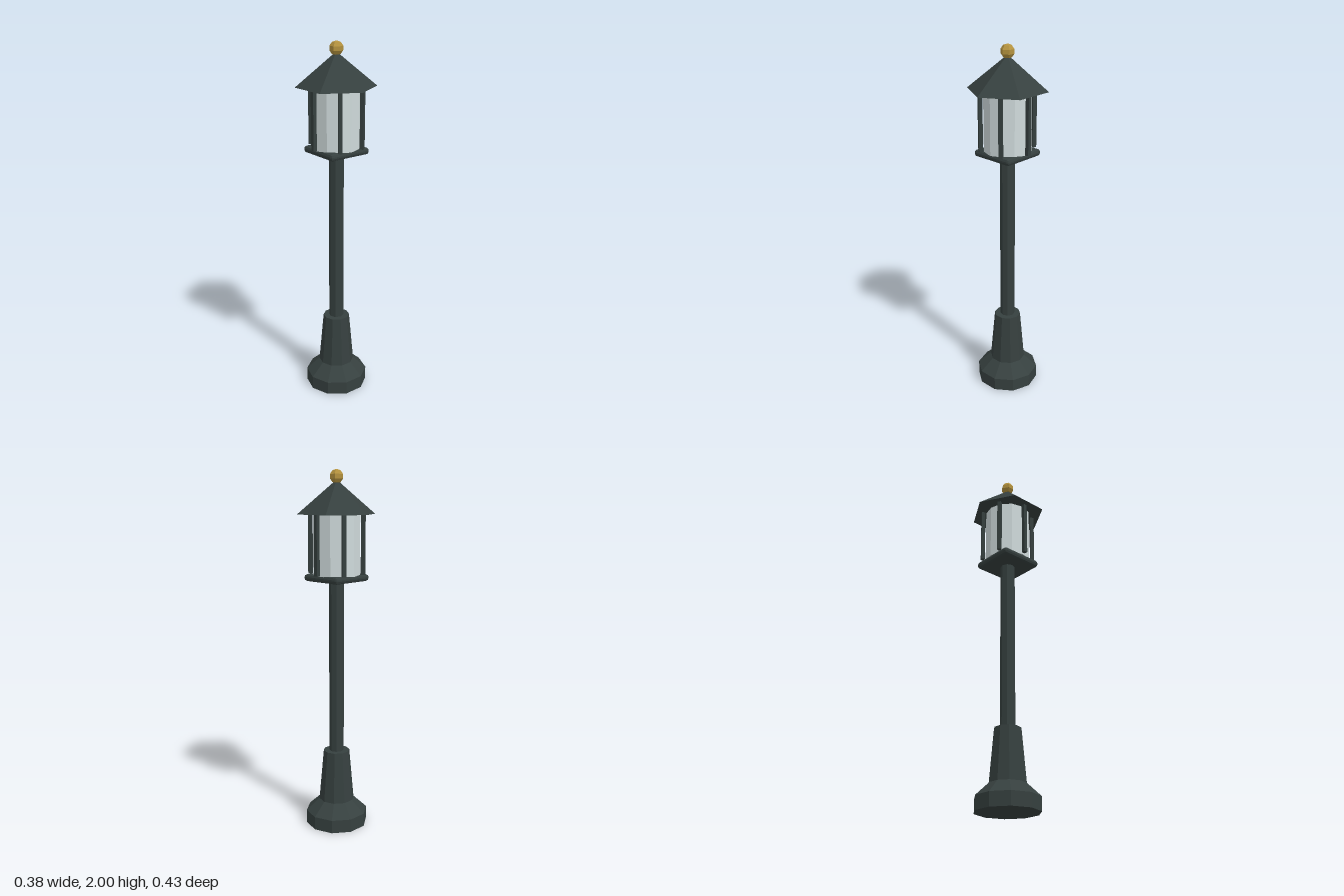
import * as THREE from 'three';
import { RoundedBoxGeometry } from 'three/addons/geometries/RoundedBoxGeometry.js';

export function createModel() {
  const model = new THREE.Group();
  model.name = 'streetLamp';

  const makeMaterial = (name, color) => {
    const material = new THREE.MeshStandardMaterial({ color, flatShading: true });
    material.name = name;
    return material;
  };
  const iron = makeMaterial('darkIron', 0x36403f);
  const glass = makeMaterial('paleGlass', 0xcfdadb);
  const brass = makeMaterial('brass', 0xb5933f);

  const add = (name, geometry, material, y, parent = model) => {
    const mesh = new THREE.Mesh(geometry, material);
    mesh.name = name;
    mesh.position.y = y;
    parent.add(mesh);
    return mesh;
  };

  // Upright prism or frustum spanning y0 to y1
  const column = (name, material, rTop, rBottom, y0, y1, sides) =>
    add(name, new THREE.CylinderGeometry(rTop, rBottom, y1 - y0, sides), material, (y0 + y1) / 2);

  // Ten-sided stepped foot with a tapered plinth
  const footProfile = [[0, 0], [0.175, 0], [0.175, 0.075], [0.1, 0.145], [0.074, 0.437], [0, 0.437]];
  const foot = add('foot', new THREE.LatheGeometry(
    footProfile.map(([r, y]) => new THREE.Vector2(r, y)), 10), iron, 0);
  foot.rotation.y = Math.PI / 2;

  // Pole and square lantern tray
  column('pole', iron, 0.041, 0.041, 0.43, 1.42, 8);
  add('lanternTray', new RoundedBoxGeometry(0.254, 0.038, 0.254, 1, 0.015), iron, 1.426);

  // Lantern glass
  column('lanternGlass', glass, 0.13, 0.13, 1.44, 1.766, 12);

  // Six posts around the glass
  const posts = new THREE.Group();
  posts.name = 'lanternPosts';
  model.add(posts);
  const postGeometry = new THREE.BoxGeometry(0.021, 0.322, 0.021);
  for (let i = 0; i < 6; i++) {
    const angle = (i * Math.PI) / 3;
    const post = add('lanternPost', postGeometry, iron, 1.606, posts);
    post.position.x = 0.147 * Math.cos(angle);
    post.position.z = 0.147 * Math.sin(angle);
    post.rotation.y = -angle;
  }

  // Six-sided roof and faceted finial
  add('roof', new THREE.ConeGeometry(0.217, 0.18, 6), iron, 1.855);
  const finial = add('finial', new THREE.SphereGeometry(0.038, 6, 5), brass, 1.962);
  finial.rotation.y = Math.PI / 2;

  return model;
}
